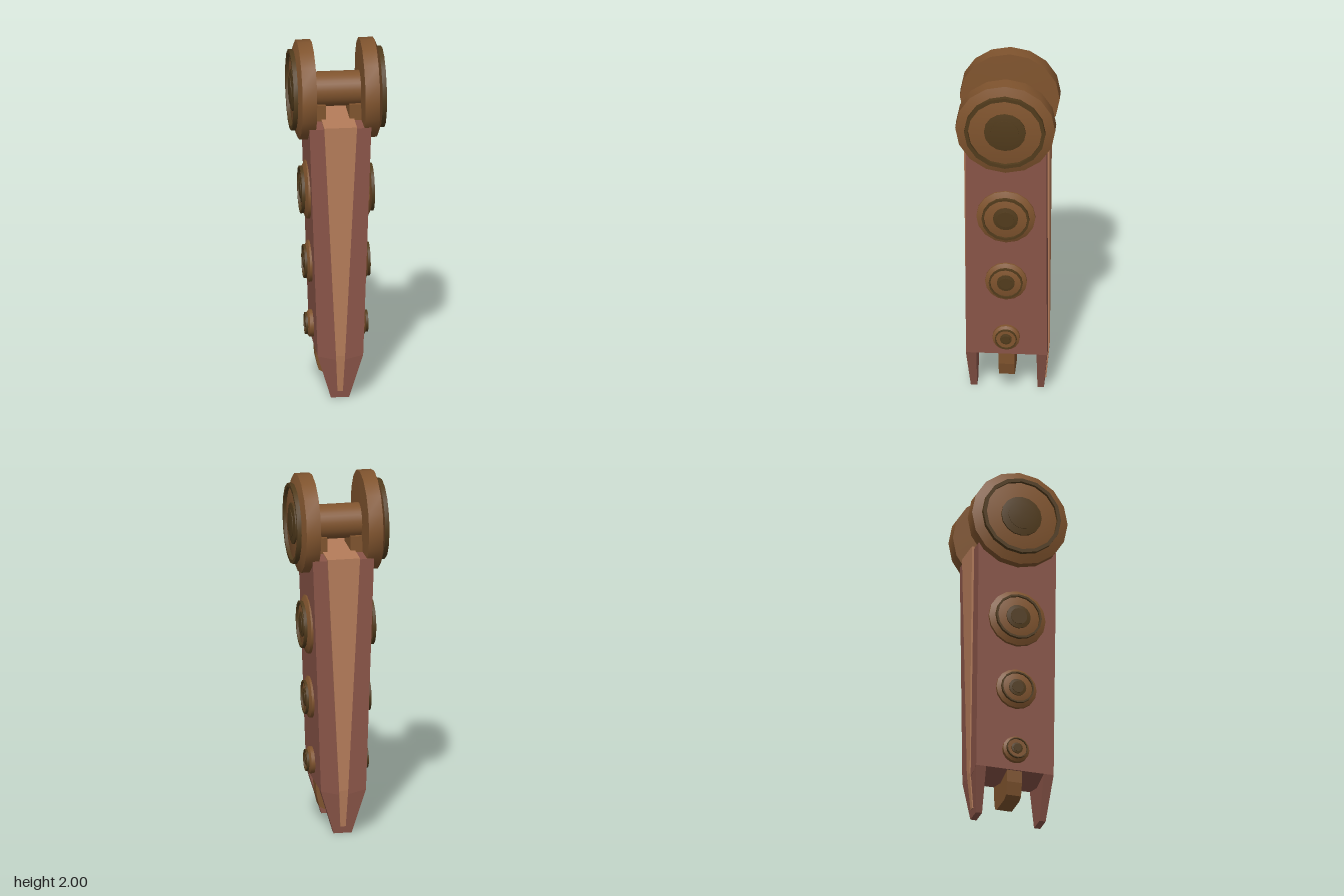
import * as THREE from 'three';
import { toCreasedNormals } from 'three/addons/utils/BufferGeometryUtils.js';

const paint = (color, flatShading = false) =>
  new THREE.MeshStandardMaterial({ color, flatShading });

// Closed solid through rectangular sections [y, halfWidth, zMin, zMax], listed upwards
function loft(sections) {
  const pos = [], idx = [], n = sections.length;
  for (const [y, w, z0, z1] of sections) {
    pos.push(-w, y, z1, w, y, z1, w, y, z0, -w, y, z0);
  }
  for (let s = 0; s < n - 1; s++) {
    for (let k = 0; k < 4; k++) {
      const a = s * 4 + k, b = s * 4 + (k + 1) % 4;
      idx.push(a, b, b + 4, a, b + 4, a + 4);
    }
  }
  const t = (n - 1) * 4;
  idx.push(0, 2, 1, 0, 3, 2, t, t + 1, t + 2, t, t + 2, t + 3);
  const g = new THREE.BufferGeometry();
  g.setAttribute('position', new THREE.Float32BufferAttribute(pos, 3));
  g.setIndex(idx);
  const flat = g.toNonIndexed();
  flat.computeVertexNormals();
  return flat;
}

// Turned part around the x axis; points are [radius, x], listed outwards
function turned(points, sides) {
  const g = new THREE.LatheGeometry(points.map(([r, x]) => new THREE.Vector2(r, x)), sides);
  g.rotateZ(-Math.PI / 2);
  return toCreasedNormals(g, 0.5);
}

export function createModel() {
  const model = new THREE.Group();
  const shell = paint(0x8a5548, true);
  const inlay = paint(0xb57c5a, true);
  const bronze = paint(0x80542e);
  const dark = paint(0x513b1c);

  const add = (parent, name, geometry, material) => {
    const mesh = new THREE.Mesh(geometry, material);
    mesh.name = name;
    parent.add(mesh);
    return mesh;
  };

  // Tapered body with a shallow V underside above the notch
  add(model, 'body', loft([
    [0.22, 0.001, -0.222, 0.222], [0.25, 0.125, -0.222, 0.222], [1.57, 0.17, -0.222, 0.222],
  ]), shell);
  add(model, 'inlayCore', loft([
    [0.25, 0.025, -0.228, 0.228], [1.58, 0.09, -0.235, 0.235],
  ]), inlay);

  // Two prongs at the foot, each with the narrow end of the inlay
  for (const s of [1, -1]) {
    const prong = new THREE.Group();
    prong.name = s > 0 ? 'frontProng' : 'backProng';
    add(prong, 'prongShell', loft([
      [0, 0.05, 0.165, 0.2], [0.25, 0.125, 0.165, 0.222],
    ]), shell);
    add(prong, 'prongInlay', loft([
      [0.04, 0.015, 0.17, 0.21], [0.25, 0.025, 0.17, 0.228],
    ]), inlay);
    if (s < 0) prong.rotation.y = Math.PI;
    model.add(prong);
  }

  // Tongue in the notch, with its underside sloping up to the sides
  add(model, 'tongue', loft([
    [0.09, 0.07, -0.043, 0.043], [0.107, 0.1, -0.043, 0.043],
    [0.18, 0.117, -0.043, 0.043], [0.26, 0.12, -0.043, 0.043],
  ]), paint(0x80542e, true));

  // Axle across the top
  const axle = add(model, 'axle', new THREE.CylinderGeometry(0.096, 0.096, 0.3, 32), bronze);
  axle.rotation.z = Math.PI / 2;
  axle.position.y = 1.727;

  // Round mount: chamfered disc, raised rim ring and stepped hub.
  // x0 inner face, x1 end of the straight rim, x2 end of chamfer, x3 outer end
  function roundMount(name, r, ring, hub, x0, x1, x2, x3, sides) {
    const g = new THREE.Group();
    g.name = name;
    const floor = x2 + (x3 - x2) * 0.25;
    const inner = ring * 0.91, core = hub * 0.68;
    add(g, 'disc', turned([
      [0, x0 - 0.005], [r * 0.35, x0 - 0.005], [r, x0], [r, x1], [ring, x2], [inner, floor], [0, floor],
    ], sides), bronze);
    add(g, 'ring', turned([
      [ring, x1], [ring, x3], [inner, x3], [inner, floor - 0.002],
    ], sides), dark);
    add(g, 'hub', turned([
      [hub, floor - 0.002], [hub, (floor + x3) / 2], [core, x3 - 0.003], [core, x3], [0, x3],
    ], sides), dark);
    return g;
  }

  // [name, height, radius, ring radius, hub radius, x0, x1, x2, x3]
  const mounts = [
    ['wheel', 1.727, 0.274, 0.223, 0.115, 0.133, 0.213, 0.232, 0.256],
    ['largeBoss', 1.145, 0.162, 0.131, 0.069, 0.12, 0.168, 0.183, 0.2],
    ['mediumBoss', 0.727, 0.115, 0.093, 0.049, 0.11, 0.155, 0.167, 0.181],
    ['smallBoss', 0.365, 0.075, 0.06, 0.032, 0.1, 0.15, 0.159, 0.172],
  ];
  for (const s of [1, -1]) {
    for (const [name, y, ...sizes] of mounts) {
      const mount = roundMount((s > 0 ? 'left ' : 'right ') + name, ...sizes, 16);
      mount.position.y = y;
      if (s < 0) mount.rotation.y = Math.PI;
      model.add(mount);
    }
    // Bracket joining the axle to the body
    const bracket = add(model, 'axleBracket', new THREE.BoxGeometry(0.07, 0.16, 0.18), bronze);
    bracket.position.set(s * 0.1, 1.58, 0);
  }
  return model;
}
